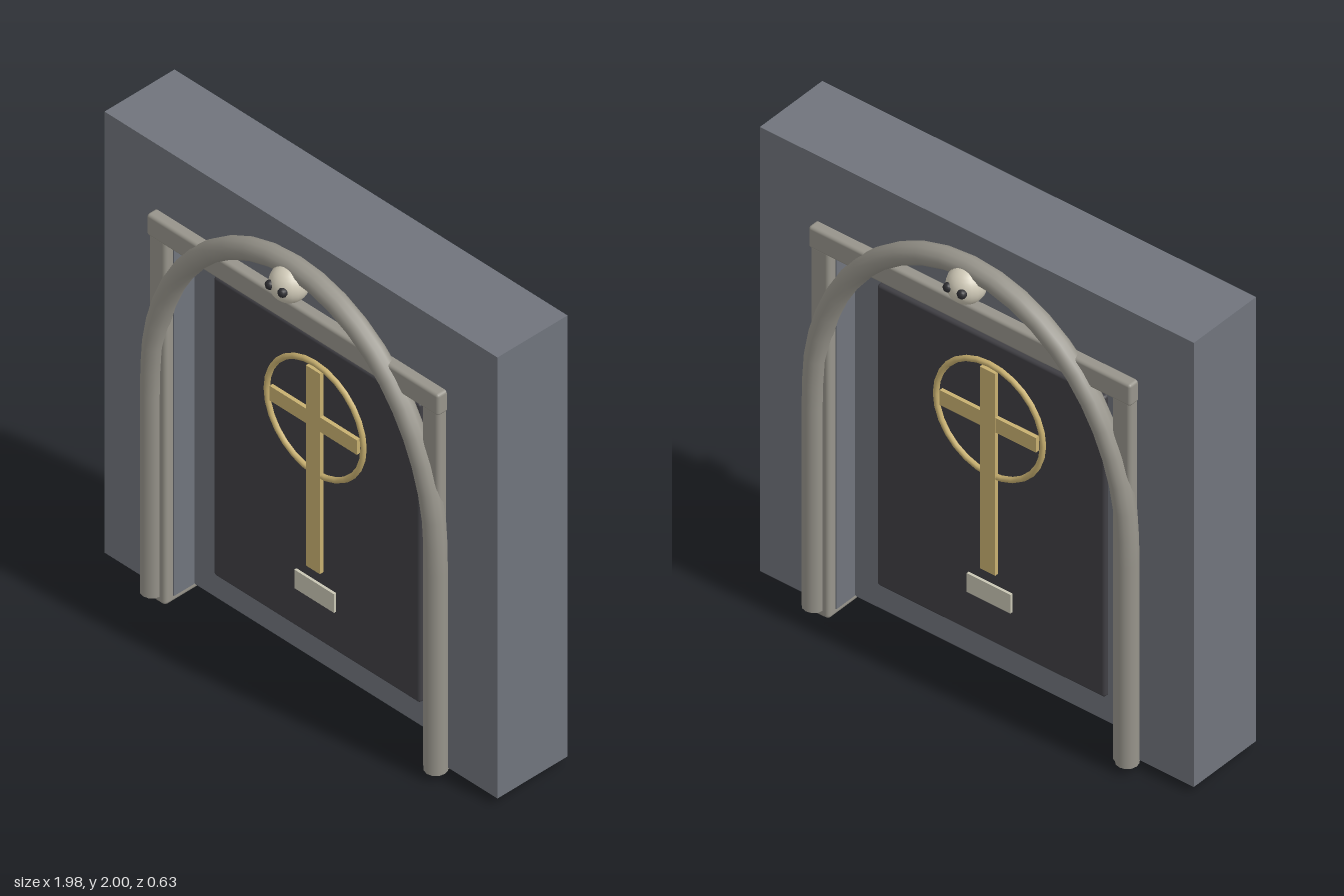
import * as THREE from 'three';
import { RoundedBoxGeometry } from 'three/addons/geometries/RoundedBoxGeometry.js';

const mat = (name, color) => {
  const m = new THREE.MeshStandardMaterial({ color });
  m.name = name;
  return m;
};

export function createModel() {
  const wallGrey = mat('wall grey', 0x70747c);
  const stone = mat('warm stone', 0x97948b);
  const charcoal = mat('charcoal door', 0x403f44);
  const gold = mat('gold', 0xc8b070);
  const cream = mat('plaque cream', 0xc9c6b4);
  const bone = mat('bone', 0xd0cab8);
  const black = mat('socket black', 0x2c2c30);

  const model = new THREE.Group();
  model.name = 'cryptDoorway';

  const add = (parent, name, geometry, material, x = 0, y = 0, z = 0) => {
    const mesh = new THREE.Mesh(geometry, material);
    mesh.name = name;
    mesh.position.set(x, y, z);
    parent.add(mesh);
    return mesh;
  };
  // Boxes given by their x, y and z limits
  const box = (parent, name, material, [x0, x1], [y0, y1], [z0, z1], bevel = 0) => {
    const size = [x1 - x0, y1 - y0, z1 - z0];
    const geo = bevel ? new RoundedBoxGeometry(...size, 2, bevel) : new THREE.BoxGeometry(...size);
    return add(parent, name, geo, material, (x0 + x1) / 2, (y0 + y1) / 2, (z0 + z1) / 2);
  };

  // Wall with a doorway open at the bottom
  const outline = new THREE.Shape([
    [-0.99, 0.03], [-0.64, 0.03], [-0.64, 1.61], [0.64, 1.61],
    [0.64, 0.03], [0.99, 0.03], [0.99, 2], [-0.99, 2],
  ].map(([x, y]) => new THREE.Vector2(x, y)));
  const wall = new THREE.ExtrudeGeometry(outline, { depth: 0.346, bevelEnabled: false });
  add(model, 'wall', wall, wallGrey, 0, 0, -0.173);

  // Recessed infill slab and the door panel that shows on both sides
  box(model, 'recessedSlab', wallGrey, [-0.64, 0.64], [0.03, 1.605], [-0.077, 0.077], 0.01);
  box(model, 'doorPanel', charcoal, [-0.52, 0.52], [0.15, 1.485], [-0.097, 0.097], 0.012);

  // Square stone frame passing through the wall
  for (const s of [-1, 1]) {
    box(model, s > 0 ? 'leftPost' : 'rightPost', stone,
      s > 0 ? [0.645, 0.73] : [-0.73, -0.645], [0, 1.63], [-0.212, 0.212], 0.015);
  }
  box(model, 'lintel', stone, [-0.735, 0.735], [1.615, 1.71], [-0.217, 0.217], 0.012);

  // Arch path: straight legs joined by a half ellipse
  const archPath = new THREE.CurvePath();
  const v = (x, y) => new THREE.Vector3(x, y, 0);
  const arc = [];
  for (let i = 0; i <= 16; i++) {
    const a = Math.PI * i / 16;
    arc.push(v(0.715 * Math.cos(a), 1 + 0.877 * Math.sin(a)));
  }
  archPath.add(new THREE.LineCurve3(v(0.715, 0.03), v(0.715, 1)));
  archPath.add(new THREE.CatmullRomCurve3(arc));
  archPath.add(new THREE.LineCurve3(v(-0.715, 1), v(-0.715, 0.03)));
  const archGeo = new THREE.TubeGeometry(archPath, 40, 0.044, 12, false);

  // Decorations, repeated on the front and the back
  for (const side of ['front', 'back']) {
    const face = new THREE.Group();
    face.name = side + 'Decoration';
    if (side === 'back') face.rotation.y = Math.PI;
    model.add(face);

    add(face, 'arch', archGeo, stone, 0, 0, 0.208);
    for (const s of [-1, 1]) {
      const cap = add(face, 'archFoot', new THREE.CircleGeometry(0.044, 12), stone, s * 0.715, 0.03, 0.208);
      cap.rotation.x = Math.PI / 2;
    }

    // Ringed cross and plaque
    box(face, 'crossUpright', gold, [-0.035, 0.035], [0.47, 1.365], [0.09, 0.114]);
    box(face, 'crossArm', gold, [-0.22, 0.22], [1.105, 1.17], [0.09, 0.113]);
    add(face, 'crossRing', new THREE.TorusGeometry(0.244, 0.012, 8, 28), gold, 0, 1.142, 0.102);
    box(face, 'plaque', cream, [-0.1, 0.1], [0.33, 0.413], [0.09, 0.108]);

    // Skull at the crown of the arch
    add(face, 'skull', new THREE.SphereGeometry(0.075, 20, 14), bone, 0, 1.818, 0.23);
    for (const s of [-1, 1]) {
      add(face, 'eyeSocket', new THREE.SphereGeometry(0.019, 10, 8), black, s * 0.032, 1.825, 0.295);
    }
  }
  return model;
}
